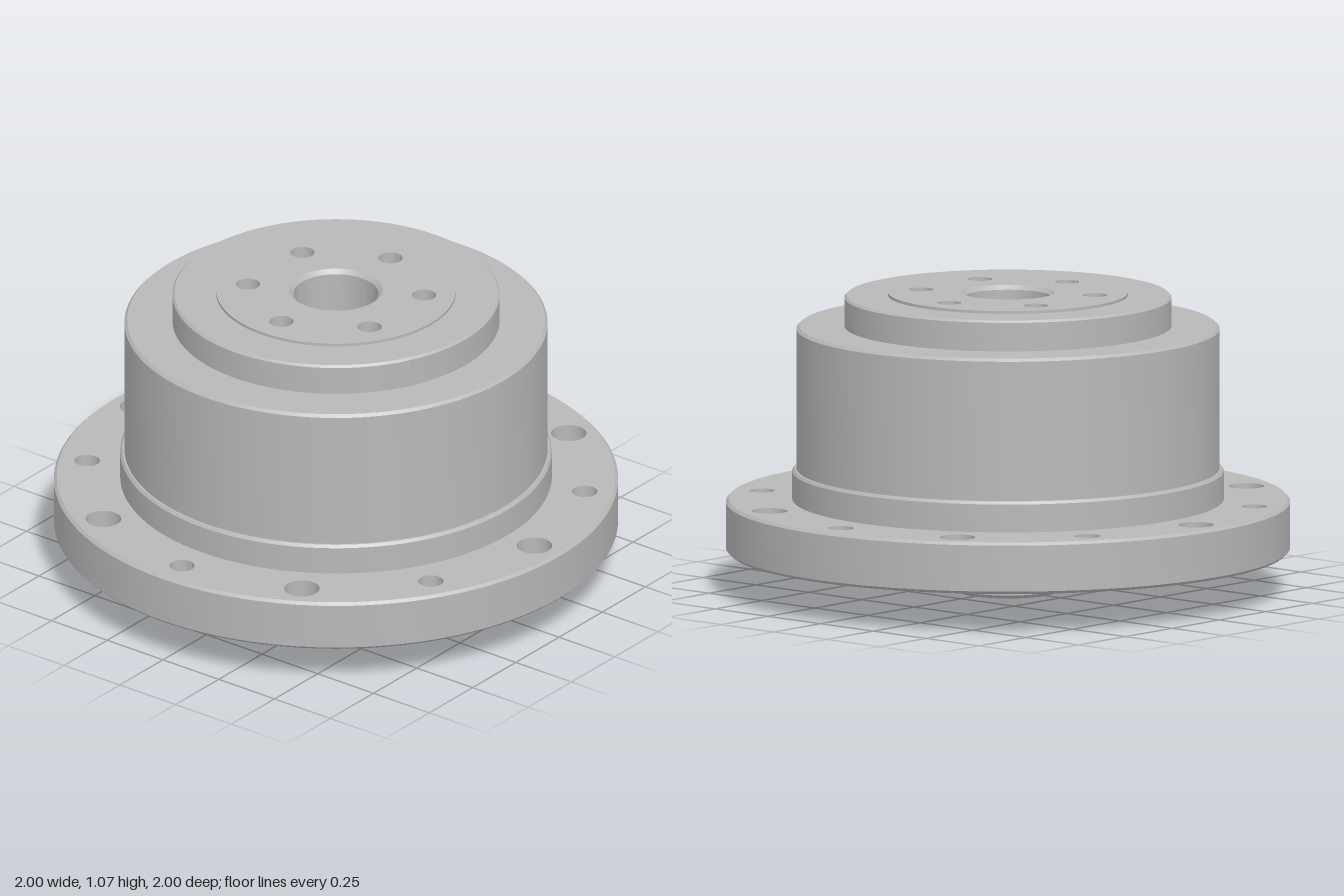
import * as THREE from 'three';
import { toCreasedNormals } from 'three/addons/utils/BufferGeometryUtils.js';

const SEGMENTS = 96;
const CREASE = 0.5;

export function createModel() {
  const group = new THREE.Group();
  const metal = new THREE.MeshStandardMaterial({ color: 0xb8b8b8 });
  metal.name = 'grey metal';

  function add(name, geometry) {
    const mesh = new THREE.Mesh(toCreasedNormals(geometry, CREASE), metal);
    mesh.name = name;
    group.add(mesh);
  }

  // Turned surface; profile is [radius, height], outside upward, inside downward
  function turned(name, profile) {
    const points = profile.map(([r, y]) => new THREE.Vector2(r, y));
    add(name, new THREE.LatheGeometry(points, SEGMENTS));
  }

  // Flat ring between two heights with round holes [angle, pitch radius, hole radius]
  function drilledRing(name, outer, inner, bottom, top, holes) {
    const shape = new THREE.Shape().absarc(0, 0, outer, 0, Math.PI * 2, false);
    const cut = (x, y, r) =>
      shape.holes.push(new THREE.Path().absarc(x, y, r, 0, Math.PI * 2, true));
    cut(0, 0, inner);
    for (const [a, pitch, r] of holes) cut(pitch * Math.cos(a), pitch * Math.sin(a), r);
    const geometry = new THREE.ExtrudeGeometry(shape, {
      depth: top - bottom, bevelEnabled: false, curveSegments: SEGMENTS / 2,
    });
    geometry.rotateX(-Math.PI / 2).translate(0, bottom, 0);
    add(name, geometry);
  }

  // Mounting flange: alternating large and small through holes
  const flangeHoles = [];
  for (let i = 0; i < 12; i++) {
    flangeHoles.push([i * Math.PI / 6, 0.89, i % 2 ? 0.045 : 0.063]);
  }
  drilledRing('flange', 0.99, 0.52, 0.145, 0.33, flangeHoles);
  turned('flangeRim', [[0.99, 0.145], [1, 0.155], [1, 0.32], [0.99, 0.33]]);

  // Stepped housing
  turned('housing', [
    [0.765, 0.33], [0.765, 0.43], [0.757, 0.44], [0.75, 0.44],
    [0.75, 0.94], [0.74, 0.95], [0.58, 0.95], [0.58, 1.052],
    [0.572, 1.06], [0.42, 1.06],
  ]);

  // Output face with six blind holes
  const faceHoles = [];
  for (let i = 0; i < 6; i++) {
    faceHoles.push([Math.PI / 6 + i * Math.PI / 3, 0.315, 0.043]);
  }
  drilledRing('outputFace', 0.425, 0.165, 0.86, 1.07, faceHoles);
  turned('blindHoleFloor', [[0.4, 0.87], [0.2, 0.87]]);

  // Stepped through bore, bottom hub, recess and locating collar
  turned('boreAndHub', [
    [0.165, 1.07], [0.15, 1.055], [0.15, 0.4], [0.11, 0.4],
    [0.11, 0.025], [0.135, 0], [0.18, 0], [0.192, 0.012],
    [0.192, 0.3], [0.47, 0.3], [0.47, 0.09], [0.515, 0.09],
    [0.52, 0.095], [0.52, 0.145],
  ]);

  return group;
}
